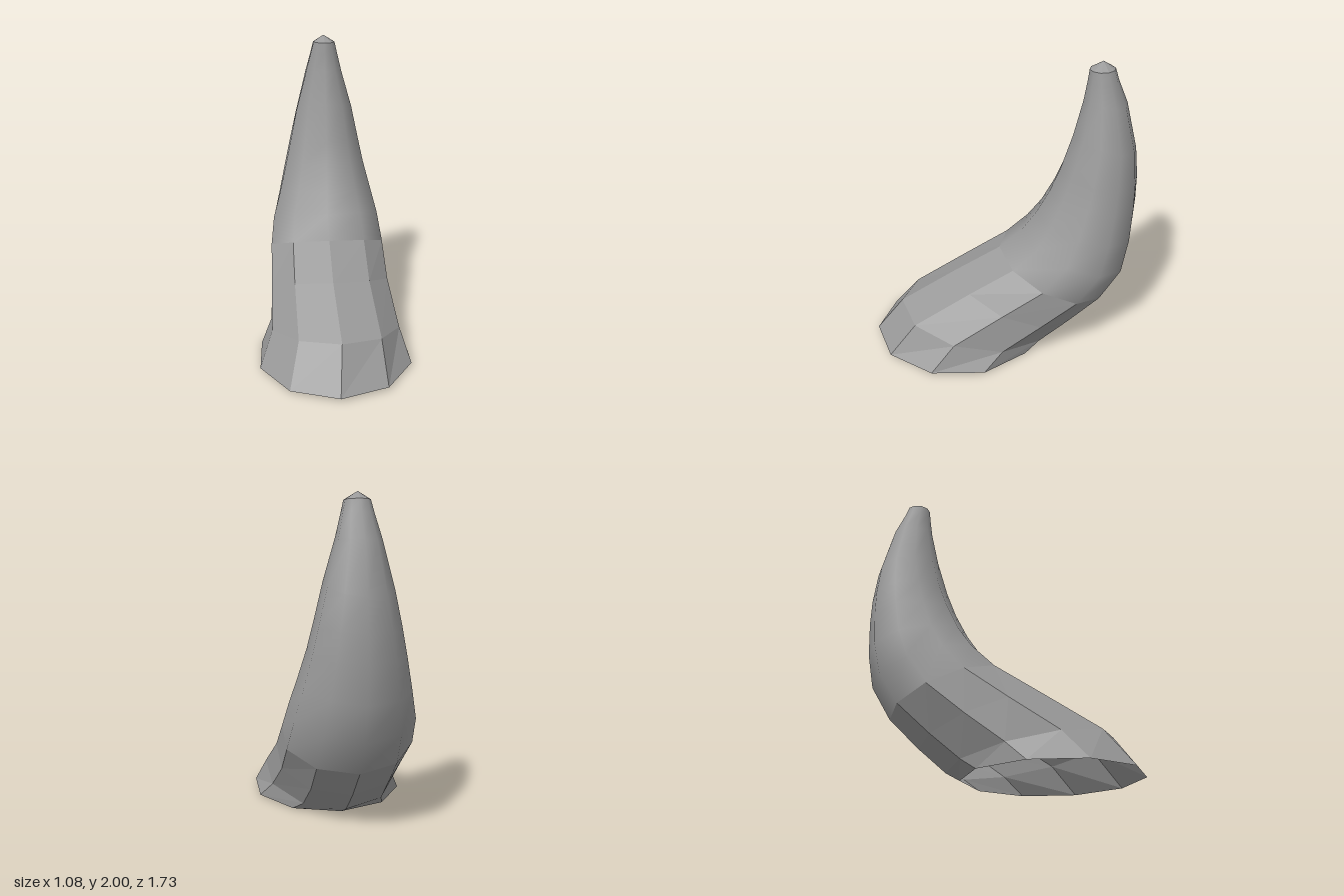
import * as THREE from 'three';

const SIDES = 10;

// Ring sections: [x min, x max, front z, front y, back z, back y, side drop in y, side skew in z]
const RINGS = [
  [-0.54, 0.49, 0.87, 0.02, -0.245, 0.0, 0, 0.035],
  [-0.43, 0.45, 0.69, 0.27, -0.33, 0.05, 0.03, 0.03],
  [-0.36, 0.48, 0.31, 0.5, -0.5, 0.2, 0.035, 0.01],
  [-0.3, 0.53, 0.02, 0.68, -0.69, 0.39, 0.03, -0.01],
  [-0.25, 0.54, -0.13, 0.82, -0.81, 0.6, 0.015, 0],
  [-0.185, 0.505, -0.22, 0.96, -0.85, 0.82, 0, 0],
  [-0.125, 0.465, -0.3, 1.12, -0.86, 1.05, 0, 0],
  [-0.08, 0.435, -0.36, 1.28, -0.855, 1.22, 0, 0],
  [-0.025, 0.39, -0.43, 1.52, -0.83, 1.42, 0, 0],
  [0.045, 0.31, -0.48, 1.75, -0.75, 1.73, 0, 0],
  [0.078, 0.27, -0.498, 1.88, -0.685, 1.88, 0, 0],
  [0.095, 0.25, -0.505, 1.95, -0.66, 1.955, 0, 0],
];
const TIP = [0.17, 2, -0.585];

// Points of one tilted elliptical ring, slightly twisted up the horn
function ringPoints(index) {
  const [x0, x1, zf, yf, zb, yb, drop, skew] = RINGS[index];
  const twist = 20.5 + Math.min(index, 3) * 1.2;
  const points = [];
  for (let j = 0; j < SIDES; j++) {
    const a = THREE.MathUtils.degToRad(twist + (j * 360) / SIDES);
    const s = Math.sin(a);
    const c = Math.cos(a) / 0.98;
    points.push(
      (x0 + x1) / 2 + (s * (x1 - x0)) / 2,
      (yf + yb) / 2 + (c * (yf - yb)) / 2 - s * drop,
      (zf + zb) / 2 + (c * (zf - zb)) / 2 - s * skew
    );
  }
  return points;
}

function makeGeometry(positions, indices, flat) {
  let geometry = new THREE.BufferGeometry();
  geometry.setAttribute('position', new THREE.Float32BufferAttribute(positions, 3));
  geometry.setIndex(indices);
  if (flat) geometry = geometry.toNonIndexed();
  geometry.computeVertexNormals();
  return geometry;
}

// Skin between consecutive rings
function loft(first, last, flat) {
  const positions = [];
  const indices = [];
  for (let i = first; i <= last; i++) positions.push(...ringPoints(i));
  for (let i = 0; i < last - first; i++) {
    for (let j = 0; j < SIDES; j++) {
      const k = (j + 1) % SIDES;
      const a = i * SIDES + j, b = i * SIDES + k;
      indices.push(a, b, b + SIDES, a, b + SIDES, a + SIDES);
    }
  }
  return makeGeometry(positions, indices, flat);
}

// Shallow pointed cap over the last ring
function tipCap() {
  const positions = [...ringPoints(RINGS.length - 1), ...TIP];
  const indices = [];
  for (let j = 0; j < SIDES; j++) indices.push(j, (j + 1) % SIDES, SIDES);
  return makeGeometry(positions, indices, true);
}

export function createModel() {
  const group = new THREE.Group();
  group.name = 'horn';
  const make = (name, geometry, flatShading) => {
    const material = new THREE.MeshStandardMaterial({
      color: 0x999999, flatShading, side: THREE.DoubleSide,
    });
    const mesh = new THREE.Mesh(geometry, material);
    mesh.name = name;
    group.add(mesh);
  };
  make('facetedBase', loft(0, 3, true), true); // open underneath
  make('smoothHorn', loft(3, RINGS.length - 1, false), false);
  make('tipCap', tipCap(), true);
  return group;
}
